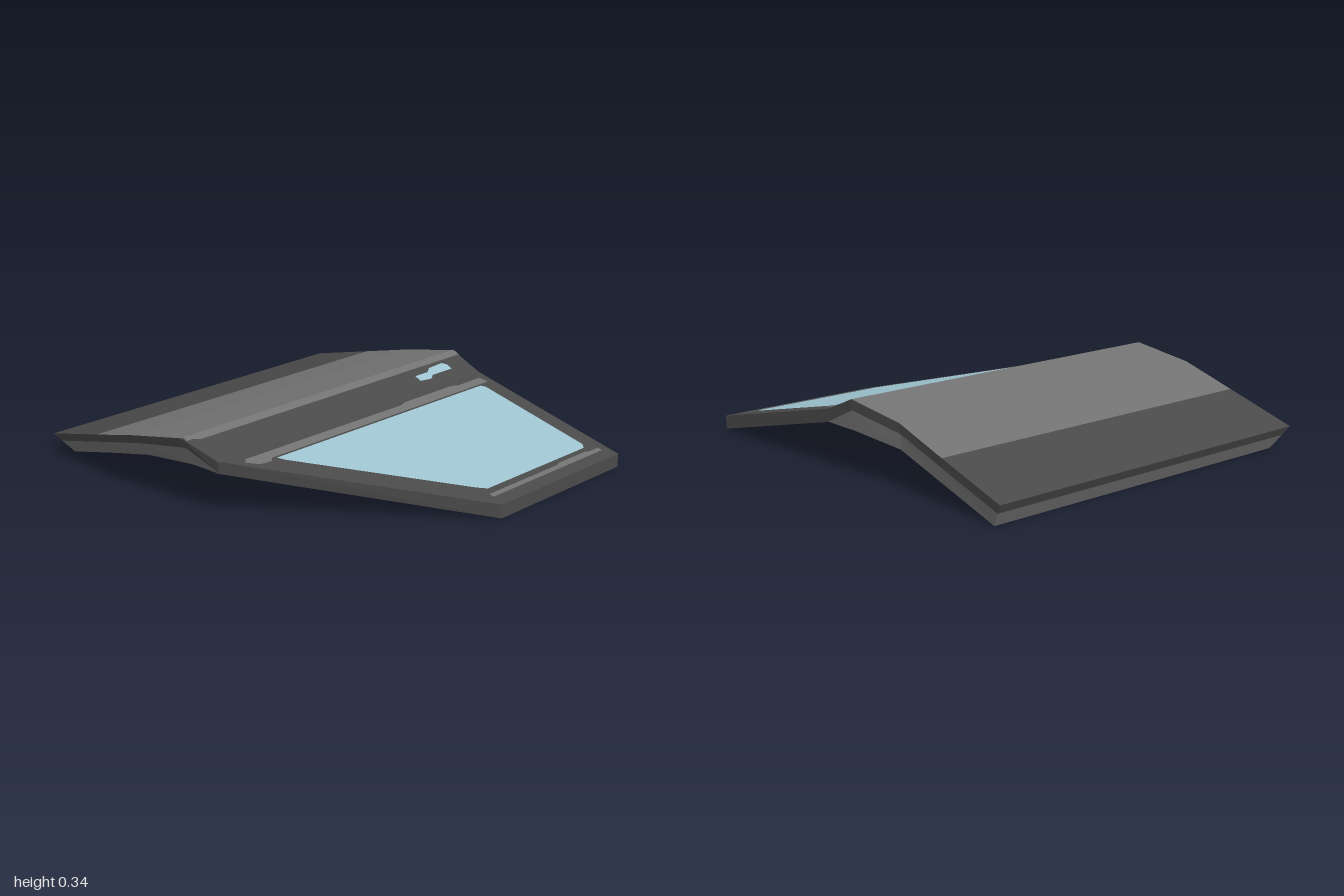
import * as THREE from 'three';

const dark = new THREE.MeshStandardMaterial({ name: 'dark trim', color: 0x4a4a4a });
const gray = new THREE.MeshStandardMaterial({ name: 'gray panel', color: 0x727272 });
const glass = new THREE.MeshStandardMaterial({ name: 'pale blue glass', color: 0x9dc3cf });

// Cross-sections, front to back: top and bottom edges as [z, y, xMin, xMax],
// and how far down the side wall the outer lip reaches.
const stations = [
  { top: [1, 0.065, 0.05, 0.9], bottom: [1, 0, 0.05, 0.9], lip: 0.95 },
  { top: [0.14, 0.265, -0.82, 0.9], bottom: [0.14, 0.205, -0.81, 0.9], lip: 0.95 },
  { top: [-0.03, 0.34, -0.875, 0.9], bottom: [-0.03, 0.2, -0.81, 0.89], lip: 0.36 },
  { top: [-0.32, 0.285, -0.91, 0.865], bottom: [-0.32, 0.17, -0.83, 0.86], lip: 0.4 },
  { top: [-0.62, 0.203, -0.893, 0.884], bottom: [-0.61, 0.093, -0.81, 0.875], lip: 0.4 },
  { top: [-1, 0.1, -0.87, 0.905], bottom: [-0.95, 0, -0.79, 0.89], lip: 0.4 },
];

// Ring of six corners: top, lip and bottom on each side.
function ring({ top, bottom, lip }) {
  const p = ([z, y, x0, x1], right) => new THREE.Vector3(right ? x1 : x0, y, z);
  const mid = (right) => p(top, right).lerp(p(bottom, right), lip);
  return [p(top, false), p(top, true), mid(true), p(bottom, true), p(bottom, false), mid(false)];
}

function quadMesh(name, material, quads) {
  const points = quads.flatMap(([a, b, c, d]) => [a, b, c, a, c, d]);
  const geo = new THREE.BufferGeometry().setFromPoints(points);
  geo.computeVertexNormals();
  const mesh = new THREE.Mesh(geo, material);
  mesh.name = name;
  return mesh;
}

// Height of the upper or lower skin at a given z.
function skinHeight(edge, z) {
  for (let i = 0; i < stations.length - 1; i++) {
    const [z0, y0] = stations[i][edge];
    const [z1, y1] = stations[i + 1][edge];
    if (z <= z0 && z >= z1) return y0 + ((y1 - y0) * (z - z0)) / (z1 - z0);
  }
  return 0;
}

// Thin face laid on the skin, outlined by [x, z] corners.
function inlay(name, material, outline, edge) {
  const shape = new THREE.Shape(outline.map(([x, z]) => new THREE.Vector2(x, -z)));
  const geo = new THREE.ShapeGeometry(shape);
  const pos = geo.attributes.position;
  const lift = edge === 'top' ? 0.003 : -0.003;
  for (let i = 0; i < pos.count; i++) {
    const z = -pos.getY(i);
    pos.setXYZ(i, pos.getX(i), skinHeight(edge, z) + lift, z);
  }
  if (edge === 'bottom') geo.index.array.reverse();
  geo.computeVertexNormals();
  const mesh = new THREE.Mesh(geo, material);
  mesh.name = name;
  return mesh;
}

export function createModel() {
  const door = new THREE.Group();
  door.name = 'door';
  const rings = stations.map(ring);

  // Skin sections between neighbouring cross-sections
  const sections = [
    ['windowFrame', dark], ['beltRail', dark], ['upperPanel', gray],
    ['middlePanel', gray], ['lowerPanel', dark],
  ];
  const lips = [];
  const walls = [];
  sections.forEach(([name, material], i) => {
    const a = rings[i];
    const b = rings[i + 1];
    const face = (k) => [a[k], a[(k + 1) % 6], b[(k + 1) % 6], b[k]];
    door.add(quadMesh(name, material, [face(0), face(3)]));
    lips.push(face(1), face(5));
    (i === 0 ? lips : walls).push(face(2), face(4));
  });

  // End caps and side walls
  const front = rings[0];
  const back = rings[rings.length - 1];
  lips.push([front[0], front[4], front[3], front[1]]);
  lips.push([back[1], back[2], back[5], back[0]]);
  walls.push([back[2], back[3], back[4], back[5]]);
  door.add(quadMesh('outerLip', dark, lips), quadMesh('innerEdge', gray, walls));

  // Window, seals and handle inlays on both skins
  const inlays = [
    ['windowGlass', glass, [[-0.57, 0.245], [0.79, 0.245], [0.808, 0.265], [0.808, 0.86],
      [0.785, 0.885], [0.09, 0.885], [0.05, 0.855], [-0.55, 0.275]]],
    ['windowSeal', gray, [[-0.7, 0.188], [0.28, 0.19], [0.32, 0.178], [0.65, 0.178], [0.69, 0.19],
      [0.85, 0.188], [0.86, 0.235], [-0.59, 0.235], [-0.61, 0.255], [-0.67, 0.25], [-0.72, 0.21]]],
    ['upperSeal', gray, [[0.06, 0.918], [0.54, 0.918], [0.56, 0.91], [0.76, 0.91], [0.78, 0.918],
      [0.85, 0.918], [0.85, 0.942], [0.06, 0.942]]],
    ['beltTrim', gray, [[-0.865, -0.029], [0.9, -0.029], [0.9, 0.008], [-0.8, 0.008], [-0.83, -0.005], [-0.865, -0.005]]],
    ['handle', glass, [[0.53, 0.05], [0.62, 0.05], [0.65, 0.03], [0.75, 0.025], [0.77, 0.045],
      [0.77, 0.075], [0.63, 0.075], [0.6, 0.093], [0.53, 0.085]]],
  ];
  for (const [name, material, outline] of inlays) {
    door.add(inlay(name + 'Outer', material, outline, 'top'));
    door.add(inlay(name + 'Inner', material, outline, 'bottom'));
  }
  return door;
}
